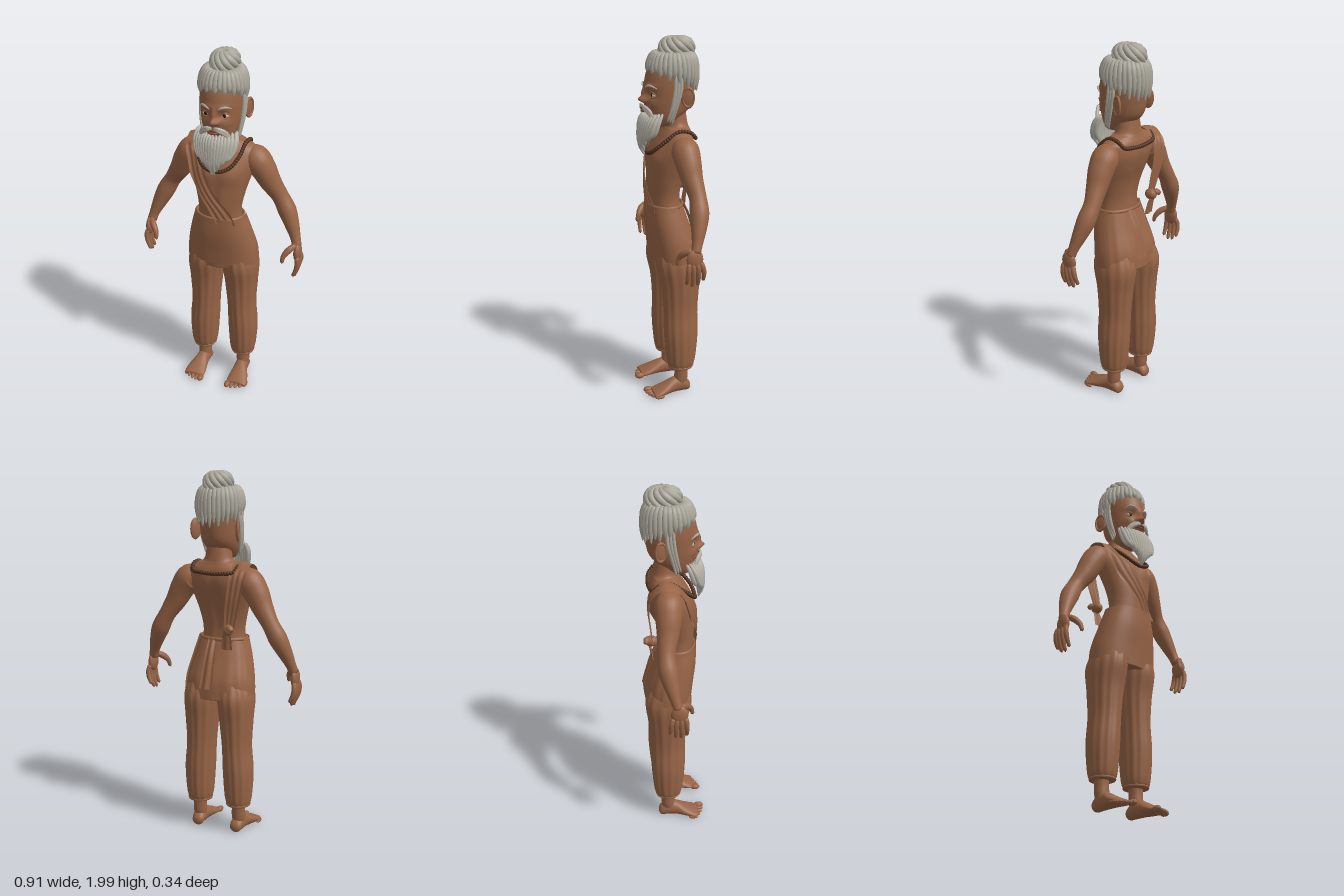
import * as THREE from 'three';
import { mergeVertices, mergeGeometries } from 'three/addons/utils/BufferGeometryUtils.js';

const mat = (name, color, side = THREE.FrontSide) => {
  const m = new THREE.MeshStandardMaterial({ color, side });
  m.name = name;
  return m;
};
const V = (x, y, z) => new THREE.Vector3(x, y, z);

// Catmull-Rom blend through rows of numbers, t in 0..1
function blend(rows, t) {
  const f = Math.min(Math.max(t, 0), 1) * (rows.length - 1);
  const i = Math.min(Math.floor(f), rows.length - 2), u = f - i;
  const r = k => rows[Math.min(Math.max(k, 0), rows.length - 1)];
  return r(i).map((b, k) => {
    const a = r(i - 1)[k], c = r(i + 1)[k], d = r(i + 2)[k];
    return b + 0.5 * u * (c - a + u * (2 * a - 5 * b + 4 * c - d + u * (3 * (b - c) + d - a)));
  });
}

// Same blend, looked up by height (first number of each row)
function atHeight(rows, y) {
  let lo = 0, hi = 1;
  for (let i = 0; i < 20; i++) {
    const m = (lo + hi) / 2;
    if (blend(rows, m)[0] < y) lo = m; else hi = m;
  }
  return blend(rows, lo);
}

// Smooth sheet from a rule fn(u, v) -> Vector3; u runs right, v runs up
function grid(nu, nv, fn) {
  const pos = [], idx = [];
  for (let j = 0; j <= nv; j++) for (let i = 0; i <= nu; i++) pos.push(...fn(i / nu, j / nv).toArray());
  for (let j = 0; j < nv; j++) for (let i = 0; i < nu; i++) {
    const a = j * (nu + 1) + i, b = a + 1, c = a + nu + 1, d = c + 1;
    idx.push(a, b, d, a, d, c);
  }
  let g = new THREE.BufferGeometry();
  g.setAttribute('position', new THREE.Float32BufferAttribute(pos, 3));
  g.setIndex(idx);
  g = mergeVertices(g, 1e-5);
  g.computeVertexNormals();
  return g;
}

// Closed body from horizontal ovals: rows of [y, cx, cz, rx, rz]
const sp = (v, p) => Math.sign(v) * Math.abs(v) ** p;
function loft(rows, { nu = 48, nv = 40, pow = 1, warp = v => v, fold = () => 1 } = {}) {
  return grid(nu, nv, (u, v) => {
    const t = (v - 1 / nv) / (1 - 2 / nv), a = (u % 1) * Math.PI * 2;
    const [y, cx, cz, rx, rz] = blend(rows, t);
    const k = v === 0 || v === 1 ? 0 : fold(a, t);
    return warp(V(cx + rx * k * sp(Math.sin(a), pow), y, cz + rz * k * sp(Math.cos(a), pow)), cz, rz);
  });
}

// Tube of changing thickness: points of [x, y, z, radius]
function sweep(pts, seg = 16, rad = 8) {
  const path = new THREE.CatmullRomCurve3(pts.map(p => V(p[0], p[1], p[2])));
  let g = new THREE.TubeGeometry(path, seg, 1, rad);
  const p = g.attributes.position, v = V(0, 0, 0);
  for (let i = 0; i < p.count; i++) {
    const u = Math.floor(i / (rad + 1)) / seg, c = path.getPointAt(u);
    const r = u === 0 || u === 1 ? 0 : Math.max(blend(pts, path.getUtoTmapping(u))[3], 0.001);
    v.fromBufferAttribute(p, i).sub(c).multiplyScalar(r).add(c);
    p.setXYZ(i, v.x, v.y, v.z);
  }
  g.deleteAttribute('uv');
  g.deleteAttribute('normal');
  g = mergeVertices(g, 1e-5);
  g.computeVertexNormals();
  return g;
}
const ball = (x, y, z, sx, sy, sz, n = 20) => new THREE.SphereGeometry(1, n, Math.ceil(n * 0.7)).scale(sx, sy, sz).translate(x, y, z);

export function createModel() {
  const root = new THREE.Group();
  const skin = mat('brown skin', 0x976446), cloth = mat('brown cloth', 0x976446, THREE.DoubleSide);
  const hair = mat('grey hair', 0xaba79b), beardMat = mat('light grey beard', 0xb9b5aa);
  const beads = mat('dark brown beads', 0x4f301d), white = mat('eye white', 0xcfc0a0);
  const dark = mat('dark iris', 0x23180f), lip = mat('lip', 0x7c4b3a);
  const add = (name, geo, m) => {
    const parts = [geo].flat();
    parts.forEach(g => g.deleteAttribute('uv'));
    const mesh = new THREE.Mesh(mergeGeometries(parts), m);
    mesh.name = name;
    root.add(mesh);
  };

  // Torso and neck, with chest muscles and a spine groove
  const torso = [[1.06, 0, .015, .125, .085], [1.15, 0, .02, .12, .085], [1.25, 0, .012, .14, .095], [1.35, 0, -.01, .168, .108],
    [1.42, 0, -.03, .185, .105], [1.48, 0, -.045, .178, .085], [1.515, 0, -.05, .12, .068], [1.54, 0, -.05, .077, .062], [1.64, 0, -.035, .066, .062]];
  add('torso', loft(torso, { nv: 56, warp: (p, cz, rz) => {
    const f = (p.z - cz) / rz, g = (x, y, s, q) => Math.exp(-(((Math.abs(p.x) - x) / s) ** 2) - ((p.y - y) / q) ** 2);
    p.z += f > 0 ? f * (.014 * g(.08, 1.36, .06, .05) - .006 * g(0, 1.2, .015, .15)) : -f * .014 * g(0, 1.3, .022, .16);
    return p;
  } }), skin);

  // Head, its face shaped by soft bumps of [x, y, width, height, depth]
  const bumps = [[0, 1.672, .019, .017, .036], [0, 1.71, .012, .03, .02], [.021, 1.665, .01, .01, .014], [.05, 1.702, .024, .017, -.015],
    [.045, 1.745, .04, .014, .009], [.062, 1.655, .025, .022, .009], [0, 1.622, .035, .018, .013], [0, 1.56, .03, .02, .012]];
  add('head', loft([[1.525, 0, .035, .03, .03], [1.54, 0, .03, .06, .06], [1.58, 0, .01, .086, .092], [1.63, 0, -.008, .1, .122], [1.7, 0, -.015, .109, .133],
    [1.78, 0, -.02, .112, .135], [1.85, 0, -.03, .105, .122], [1.9, 0, -.035, .075, .085], [1.92, 0, -.035, .02, .02]], { nu: 96, nv: 80, warp: (p, cz, rz) => {
    const f = Math.max(0, (p.z - cz) / rz);
    for (const [x, y, w, h, d] of bumps) p.z += f * d * Math.exp(-(((Math.abs(p.x) - x) / w) ** 2) - ((p.y - y) / h) ** 2);
    return p;
  } }), skin);
  add('lips', [1.627, 1.613].map(y => sweep([[-.032, 1.619, .112, .002], [-.012, y, .134, .006], [.012, y, .134, .006], [.032, 1.619, .112, .002]])), lip);

  // Hips, apron over the front, and cloth tails at the back
  const hips = [[.78, 0, -.04, .19, .122], [.88, 0, -.03, .184, .122], [1, 0, -.002, .158, .108], [1.1, 0, .015, .13, .092]];
  const pleat = (a, t) => 1 + .02 * (1 - t) * Math.cos(14 * a);
  add('hips', loft(hips, { pow: .85, nu: 84, fold: pleat }), cloth);
  add('apron', grid(56, 20, (u, v) => {
    const a = (u - .5) * 3.7, hem = .8 + .02 * Math.exp(-((a / .5) ** 2)) - .006 * Math.cos(5 * a);
    const y = hem + (1.105 - hem) * v, [, , cz, rx, rz] = atHeight(hips, y), o = .01;
    return V((rx + o) * sp(Math.sin(a), .85), y, cz + (rz + o) * sp(Math.cos(a), .85));
  }), cloth);
  const ribbon = rows => grid(8, 16, (u, v) => {
    const [x, y, z, w] = blend(rows, 1 - v);
    return V(x + w * (.5 - u), y, z - .006 * Math.cos((u - .5) * 9));
  });
  add('backTails', [ribbon([[.02, 1.1, -.085, .05], [.02, 1, -.13, .06], [.025, .84, -.172, .075]]),
    ribbon([[-.09, 1.17, -.15, .04], [-.085, 1.12, -.135, .055], [-.08, 1.06, -.125, .065]])], cloth);
  add('waistRoll', grid(48, 8, (u, v) => {
    const a = (u % 1) * Math.PI * 2, b = -(v % 1) * Math.PI * 2, r = .008 * Math.cos(b);
    return V((.131 + r) * Math.sin(a), 1.1 - .01 * Math.sin(b), .015 + (.094 + r) * Math.cos(a));
  }), cloth);

  // Sash from the right shoulder across the chest, and down the back to a knot
  const sash = [[.065, 1.075, .11, .1], [.02, 1.16, .1, .105], [-.04, 1.24, .09, .11], [-.09, 1.32, .08, .11], [-.12, 1.4, .06, .1], [-.145, 1.475, .035, .09],
    [-.15, 1.52, -.02, .09], [-.15, 1.522, -.08, .09], [-.145, 1.46, -.135, .09], [-.13, 1.36, -.145, .085], [-.11, 1.26, -.135, .075], [-.095, 1.17, -.125, .05]];
  add('sash', grid(16, 64, (u, v) => {
    const [cx, y, cz, w] = blend(sash, v), x = cx + w * (u - .5), [, , tz, rx, rz] = atHeight(torso, y);
    const d = rz * Math.sqrt(1 - Math.min(Math.abs(x) / rx, .93) ** 2), f = .004 * Math.cos(u * 19);
    const drop = y > 1.45 ? -.25 * Math.max(0, -.15 - x) : 0;
    return V(x, y + drop, v < .48 ? Math.max(cz - .01, tz + d + .014) + f : v > .7 ? Math.min(cz, tz - d - .01) - f : cz);
  }), cloth);
  add('sashKnot', [ball(-.095, 1.17, -.13, .028, .03, .035), sweep([[-.09, 1.17, -.14, .01], [-.11, 1.185, -.155, .018], [-.13, 1.17, -.162, .012]])], cloth);

  // Parts made once for each side; S mirrors points, R mirrors loft rows
  for (const s of [1, -1]) {
    const side = s > 0 ? 'left' : 'right';
    const S = pts => pts.map(([x, ...r]) => [s * x, ...r]), R = rows => rows.map(([y, x, ...r]) => [y, s * x, ...r]);
    add(side + 'Trouser', loft(R([[.155, .118, -.045, .06, .064], [.2, .118, -.045, .074, .08], [.35, .117, -.045, .083, .094], [.5, .108, -.045, .08, .095],
      [.65, .104, -.045, .091, .106], [.78, .1, -.04, .099, .126], [.88, .09, -.03, .08, .1]]), { nu: 84, fold: (a, t) => 1 + .022 * Math.cos(13 * a) * Math.min(1, t * 6) }), cloth);
    add(side + 'Cuff', new THREE.TorusGeometry(.06, .009, 8, 32).rotateX(Math.PI / 2).scale(1, 1, 1.06).translate(s * .118, .163, -.045), cloth);

    // Foot: rows run from heel to toes, then are laid down
    const foot = [[-.1, .118, -.03, .012, .012], [-.088, .118, -.032, .032, .03], [-.05, .12, -.047, .037, .046], [0, .122, -.045, .039, .044],
      [.05, .128, -.033, .052, .032], [.1, .131, -.021, .06, .02], [.125, .131, -.017, .054, .014]];
    add(side + 'Foot', [loft(R(foot), { nu: 32, nv: 28 }).rotateX(Math.PI / 2),
      sweep(S([[.12, .22, -.048, .045], [.12, .14, -.048, .038], [.12, .08, -.045, .038], [.121, .03, -.035, .03]]), 14, 18)], skin);
    add(side + 'Toes', [0, 1, 2, 3, 4].map(i => {
      const x = .084 + .025 * i, z = .156 - .002 * i * i - .002 * i, r = i ? .0125 - .0006 * i : .017;
      return ball(s * x, r, z - .018, r, r, .028, 14);
    }), skin);

    // Arm and hand
    add(side + 'Arm', sweep(S([[.12, 1.435, -.045, .05], [.17, 1.425, -.045, .073], [.215, 1.37, -.048, .069], [.255, 1.295, -.055, .058], [.308, 1.21, -.068, .046],
      [.35, 1.135, -.064, .05], [.385, 1.06, -.048, .04], [.413, .99, -.03, .028], [.427, .94, -.015, .027]]), 48, 24), skin);
    const hand = [ball(s * .432, .918, -.012, .021, .055, .045)];
    for (let i = 0; i < 4; i++) {
      const z = .024 - .026 * i, l = [.85, 1, .95, .72][i];
      hand.push(sweep(S([[.435, .905, z * .8, .012], [.442, .87, z, .0135], [.437, .87 - .05 * l, z * 1.1, .0125], [.418, .87 - .108 * l, z * 1.15, .009]]), 14, 10));
    }
    hand.push(sweep(S([[.425, .965, -.005, .014], [.395, .945, .03, .018], [.372, .915, .052, .014], [.366, .872, .065, .009]]), 14, 10));
    add(side + 'Hand', hand, skin);

    // Ear, eye and brow
    add(side + 'Ear', [ball(0, 0, 0, .01, .052, .034).rotateY(-s * .35).translate(s * .119, 1.69, -.075),
      new THREE.TorusGeometry(.036, .007, 8, 24).scale(.8, 1.35, 1).rotateY(Math.PI / 2 - s * .35).translate(s * .124, 1.69, -.078)], skin);
    add(side + 'Eye', ball(s * .05, 1.7, .079, .022, .013, .02), white);
    add(side + 'Iris', ball(s * .05, 1.701, .096, .009, .01, .005, 14), dark);
    add(side + 'Eyelids', [.014, -.013].map(d => sweep(S([[.026, 1.7, .09, .003], [.04, 1.7 + d, .097, .005], [.058, 1.7 + d, .093, .005], [.074, 1.698, .076, .003]]), 14, 8)), skin);
    add(side + 'Brow', sweep(S([[.018, 1.734, .123, .002], [.04, 1.748, .119, .006], [.064, 1.75, .104, .006], [.086, 1.735, .076, .002]])), hair);

    // Sideburn and moustache strands
    add(side + 'Sideburn', [0, 1, 2].map(i => sweep(S([[.108, 1.82, -.015 - .014 * i, .009], [.116, 1.74, -.012 - .016 * i, .01],
      [.112, 1.65, .002 - .012 * i, .01], [.098, 1.56 - .008 * i, .028 - .012 * i, .005]]))), hair);
    add(side + 'Moustache', [0, 1, 2].map(i => sweep(S([[.004, 1.643 - .004 * i, .132, .004], [.03, 1.64 - .006 * i, .132, .008],
      [.06, 1.622 - .008 * i, .114, .009], [.088, 1.585 - .012 * i, .095, .004]]))), beardMat);
  }

  // Beard: two layers of strands fanned along the jaw
  const beard = [];
  for (const [n, back] of [[15, 0], [12, 1]]) for (let i = 0; i < n; i++) {
    const u = i / (n - 1) * 2 - 1, q = 1 - u * u, tip = 1.365 + .1 * Math.abs(u) ** 1.4 + (i % 2) * .012 + back * .02;
    beard.push(sweep([[.102 * u, 1.612 - .014 * q, .07 + .052 * q - back * .018, .007], [.108 * u, 1.56, .098 + .042 * q - back * .02, .013],
      [.094 * u, 1.5, .118 + .03 * q - back * .02, .013], [.07 * u, (1.48 + tip) / 2, .13 + .015 * q - back * .016, .011], [.045 * u, tip, .125, .002]], 18, 8));
  }
  add('beard', beard, beardMat);

  // Hair: scalp, hanging locks and a coiled bun
  add('scalp', new THREE.SphereGeometry(1, 32, 12, 0, Math.PI * 2, 0, Math.PI * .52).scale(.111, .1, .132).translate(0, 1.825, -.03), hair);
  const locks = [];
  for (let i = 0; i < 32; i++) {
    const a = i / 32 * Math.PI * 2, c = Math.cos(a), x = Math.sin(a);
    const end = 1.81 - .05 * (1 - c) + (i % 2 ? .012 : -.008);
    const at = (k, y, r) => [x * .118 * k, y, -.032 + c * .13 * k, r];
    locks.push(sweep([at(.45, 1.895, .012), at(.74, 1.905, .015), at(.93, 1.872, .0155), at(1, (end + 1.86) / 2, .0145), at(.98, end, .004)], 16, 8));
  }
  add('hairLocks', locks, hair);
  const bun = [ball(0, 1.922, -.055, .063, .066, .085)];
  for (let k = 0; k < 11; k++) {
    const pts = [];
    for (let j = 0; j <= 6; j++) {
      const t = j / 6, ph = .06 + 2.1 * t, a = k / 11 * Math.PI * 2 + 1.9 * t, r = Math.sin(ph);
      pts.push([.064 * r * Math.sin(a), 1.922 + .064 * Math.cos(ph), -.055 + .086 * r * Math.cos(a), .006 + .0135 * Math.sin(Math.PI * Math.min(t * 1.1, .8))]);
    }
    bun.push(sweep(pts, 20, 8));
  }
  add('hairBun', bun, hair);

  // Bead necklace around chest, shoulders and upper back
  const half = [[.04, 1.392, .106], [.08, 1.415, .092], [.113, 1.462, .045], [.125, 1.512, -.03], [.13, 1.505, -.09], [.115, 1.475, -.122], [.06, 1.468, -.135]];
  const loop = new THREE.CatmullRomCurve3([[0, 1.385, .108], ...half, [0, 1.465, -.138], ...half.map(([x, y, z]) => [-x, y, z]).reverse()].map(p => V(...p)), true);
  add('necklace', loop.getSpacedPoints(64).slice(0, 64).map(p => ball(p.x, p.y, p.z, .0115, .0115, .0115, 10)), beads);

  return root;
}
